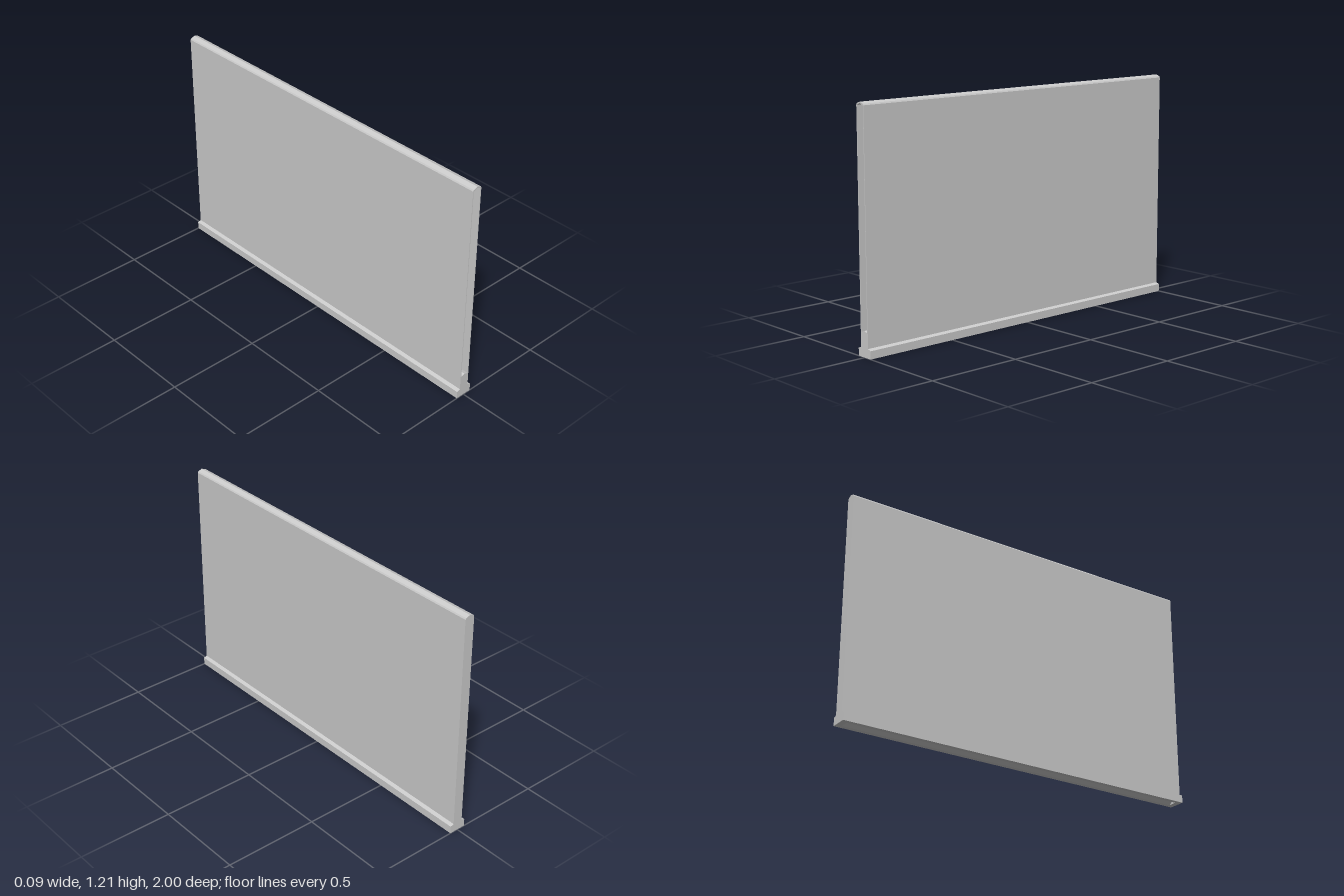
import * as THREE from 'three';

const material = new THREE.MeshStandardMaterial({ color: 0xcccccc, flatShading: true });

// Mirrors a right-hand half profile (bottom to top) into a closed outline
function outline(half) {
  const left = half.filter(([x]) => x > 0).reverse().map(([x, y]) => [-x, y]);
  return [...half, ...left].map(([x, y]) => new THREE.Vector2(x, y));
}

// Extrudes a profile along z between two ends
function bar(name, half, z0, z1, holeHalf) {
  const shape = new THREE.Shape(outline(half));
  if (holeHalf) shape.holes.push(new THREE.Path(outline(holeHalf)));
  const geometry = new THREE.ExtrudeGeometry(shape, { depth: z1 - z0, bevelEnabled: false });
  geometry.translate(0, 0, z0);
  const mesh = new THREE.Mesh(geometry, material);
  mesh.name = name;
  return mesh;
}

export function createModel() {
  const group = new THREE.Group();
  group.name = 'wallPanel';

  const end = 0.97;
  // Foot rail section with a peaked top; the middle has a V groove underneath
  const railTop = [[0.046, 0], [0.046, 0.04], [0.027, 0.047], [0.027, 0.118], [0, 0.128]];
  const grooved = [[0, 0.015], [0.024, 0], ...railTop];
  group.add(bar('footRail', grooved, -end, end));
  group.add(bar('footRailFrontEnd', railTop, end, 1));
  group.add(bar('footRailBackEnd', railTop, -1, -end));

  // Hollow panel, open at the front, with a bevelled and peaked top edge
  const outer = [[0, 0.128], [0.027, 0.118], [0.027, 1.19], [0.023, 1.197], [0, 1.205]];
  const inner = [[0, 0.129], [0.023, 0.121], [0.023, 1.188], [0, 1.198]];
  group.add(bar('panelShell', outer, -end, 1, inner));
  group.add(bar('panelBackEnd', outer, -1, -end));

  return group;
}
